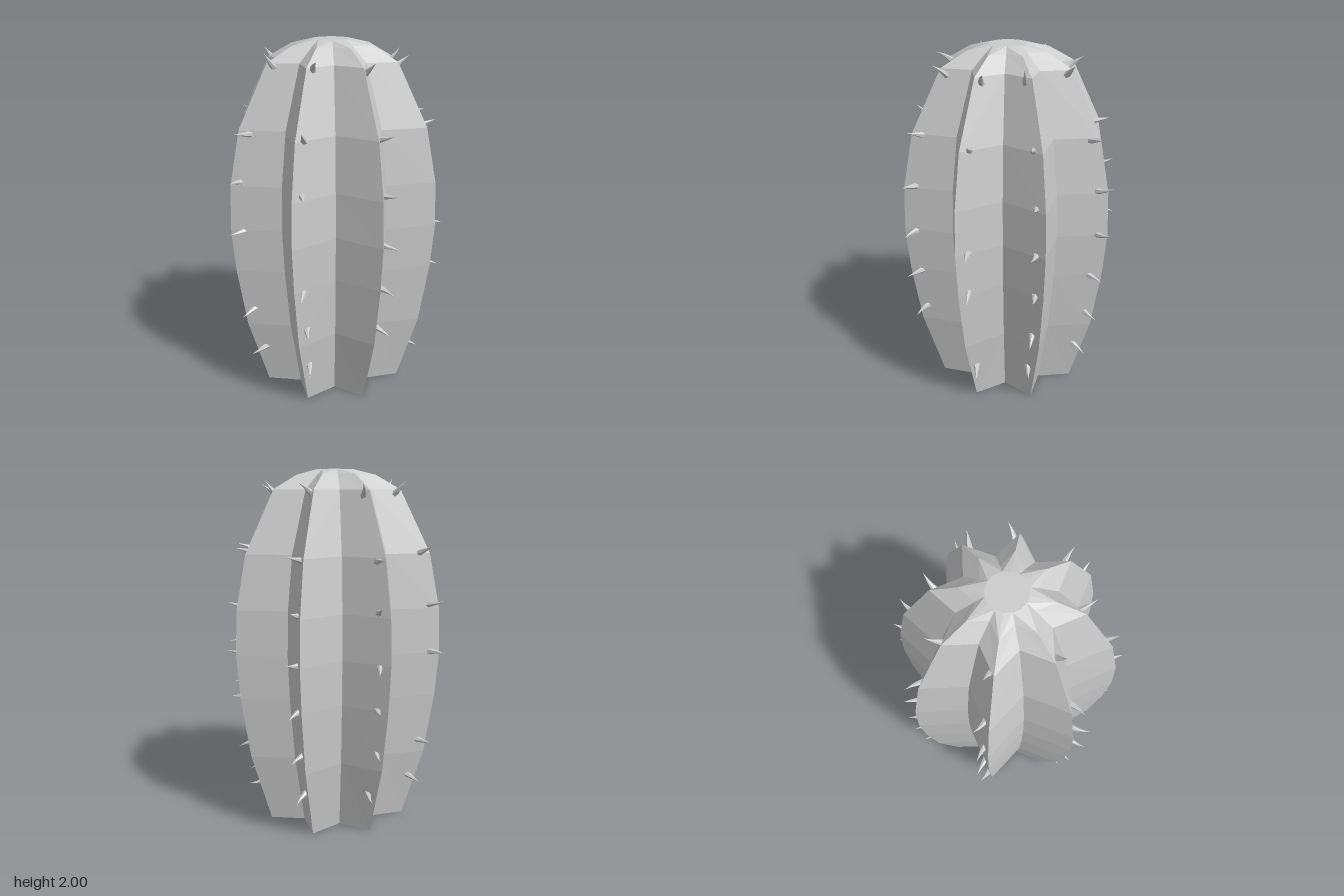
import * as THREE from 'three';

const RIBS = 8;
const CENTER_X = -0.035;

// [height, rib crest radius, valley radius]
const PROFILE = [
  [0, 0.42, 0.28], [0.4, 0.54, 0.355], [0.75, 0.594, 0.392], [1.0, 0.614, 0.405],
  [1.25, 0.604, 0.398], [1.55, 0.545, 0.36], [1.89, 0.375, 0.248], [1.97, 0.232, 0.15], [2.0, 0.105, 0.105],
];

// Star-shaped rings lofted upwards, closed at both ends
function bodyGeometry() {
  const n = RIBS * 2;
  const pos = [], idx = [];
  for (const [y, crest, valley] of PROFILE) {
    for (let i = 0; i < n; i++) {
      const a = (i / n) * Math.PI * 2;
      const r = i % 2 ? crest : valley;
      pos.push(r * Math.cos(a), y, r * Math.sin(a));
    }
  }
  const last = (PROFILE.length - 1) * n;
  const bottom = pos.length / 3, top = bottom + 1;
  pos.push(0, 0, 0, 0, 2, 0);
  for (let i = 0; i < n; i++) {
    const j = (i + 1) % n;
    for (let k = 0; k < last; k += n) {
      // split every quad symmetrically about its rib crest
      const a = k + i, b = k + j, c = a + n, d = b + n;
      if (i % 2) idx.push(a, c, d, a, d, b);
      else idx.push(a, c, b, c, d, b);
    }
    idx.push(bottom, i, j, top, last + j, last + i);
  }
  const g = new THREE.BufferGeometry();
  g.setAttribute('position', new THREE.Float32BufferAttribute(pos, 3));
  g.setIndex(idx);
  const flat = g.toNonIndexed();
  flat.computeVertexNormals();
  return flat;
}

// Small claw: a cone along +y whose tip bends sideways
function spineGeometry() {
  const g = new THREE.ConeGeometry(0.021, 0.115, 6, 3);
  g.translate(0, 0.035, 0);
  const p = g.attributes.position;
  for (let i = 0; i < p.count; i++) {
    const t = Math.max(0, p.getY(i)) / 0.0925;
    p.setX(i, p.getX(i) + 0.016 * t * t);
  }
  g.computeVertexNormals();
  return g;
}

// Crest radius and outward slope of the profile at a height
function profileAt(y) {
  let i = 0;
  while (i < PROFILE.length - 2 && PROFILE[i + 1][0] < y) i++;
  const [y0, r0, v0] = PROFILE[i], [y1, r1, v1] = PROFILE[i + 1];
  const t = (y - y0) / (y1 - y0);
  return { crest: r0 + (r1 - r0) * t, valley: v0 + (v1 - v0) * t, slope: (r1 - r0) / (y1 - y0) };
}

function seeded(seed) {
  return () => {
    seed = (seed * 16807) % 2147483647;
    return seed / 2147483647;
  };
}

export function createModel() {
  const group = new THREE.Group();
  const material = new THREE.MeshStandardMaterial({ color: 0xcccccc, flatShading: true });

  const body = new THREE.Mesh(bodyGeometry(), material);
  body.name = 'ribbedBody';
  body.position.x = CENTER_X;
  group.add(body);

  // Spines in a column beside each rib crest
  const spines = new THREE.Group();
  spines.name = 'spines';
  spines.position.x = CENTER_X;
  const geometry = spineGeometry();
  const rand = seeded(77);
  const heights = [0.24, 0.49, 0.75, 1.0, 1.275, 1.545, 1.875];
  const gaps = ['0:1', '0:4', '1:0', '2:3', '3:2', '4:2'];
  const up = new THREE.Vector3(0, 1, 0);
  for (let rib = 0; rib < RIBS; rib++) {
    const step = Math.PI / RIBS;
    const crestAngle = (2 * rib + 1) * step;
    // the front half leans one way round, the back half mirrors it
    const valleyAngle = crestAngle + (rib < RIBS / 2 ? -step : step);
    heights.forEach((h, level) => {
      if (gaps.includes(`${rib}:${level}`)) return;
      const y = h + (rand() - 0.5) * 0.03;
      const { crest, valley, slope } = profileAt(Math.min(y, 1.885));
      const t = 0.17 + rand() * 0.08;
      const spine = new THREE.Mesh(geometry, material);
      spine.name = 'spine';
      spine.position.set(
        THREE.MathUtils.lerp(crest * Math.cos(crestAngle), valley * Math.cos(valleyAngle), t), y,
        THREE.MathUtils.lerp(crest * Math.sin(crestAngle), valley * Math.sin(valleyAngle), t));
      const a = valleyAngle + (rand() - 0.5) * 0.25;
      const lift = -slope * (level === 6 ? 1.7 : 0.9) + (rand() - 0.5) * 0.15;
      const dir = new THREE.Vector3(Math.cos(a), lift, Math.sin(a)).normalize();
      spine.quaternion.setFromUnitVectors(up, dir);
      spine.rotateY(rand() * Math.PI * 2);
      spines.add(spine);
    });
  }
  group.add(spines);
  return group;
}
